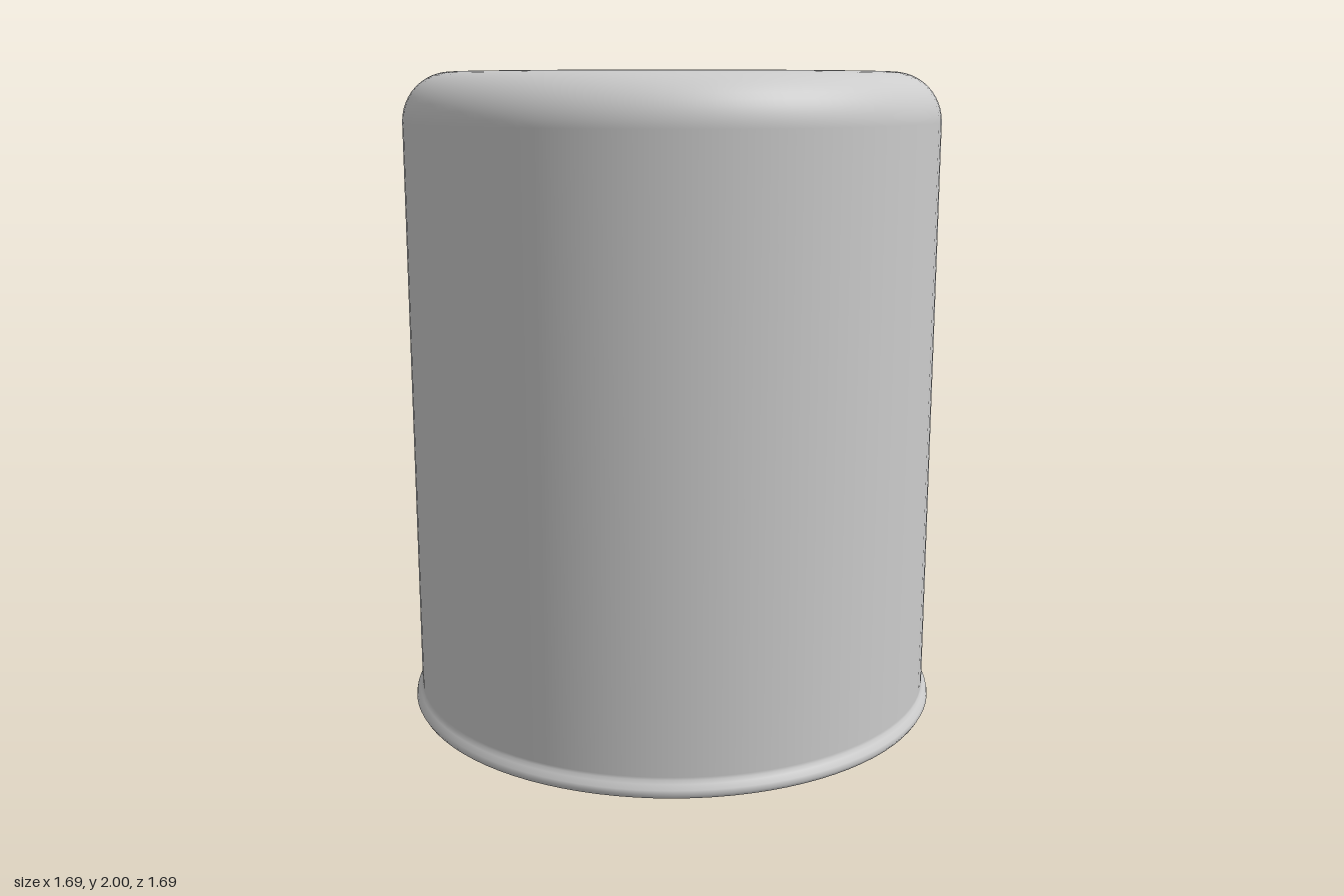
import * as THREE from 'three';

// Quarter-round corner of a profile, centred on (cx, cy)
function corner(cx, cy, r, from, to, steps) {
  const pts = [];
  for (let i = 0; i <= steps; i++) {
    const a = from + (to - from) * (i / steps);
    pts.push(new THREE.Vector2(cx + r * Math.cos(a), cy + r * Math.sin(a)));
  }
  return pts;
}

export function createModel() {
  const group = new THREE.Group();
  const material = new THREE.MeshStandardMaterial({ color: 0xcccccc });
  const p = (x, y) => new THREE.Vector2(x, y);

  const radius = 0.825, wall = 0.015, round = 0.15, hole = 0.005;
  const cx = radius - round, cy = 2 - round;

  const profile = [
    // flared foot
    p(0.81, 0.005), p(0.825, 0), p(0.838, 0.003), p(0.845, 0.015), p(0.842, 0.028),
    p(0.832, 0.042), p(0.826, 0.052), p(radius, 0.06),
    // outer wall, rounded shoulder and flat top
    ...corner(cx, cy, round, 0, Math.PI / 2, 12),
    // pin hole through the top
    p(hole, 2), p(hole, 2 - wall),
    // underside of the top, inner shoulder and inner wall
    ...corner(cx, cy, round - wall, Math.PI / 2, 0, 12),
    p(0.81, 0.06), p(0.81, 0.005),
  ];

  const shell = new THREE.Mesh(new THREE.LatheGeometry(profile, 96), material);
  shell.name = 'capShell';
  group.add(shell);
  return group;
}
